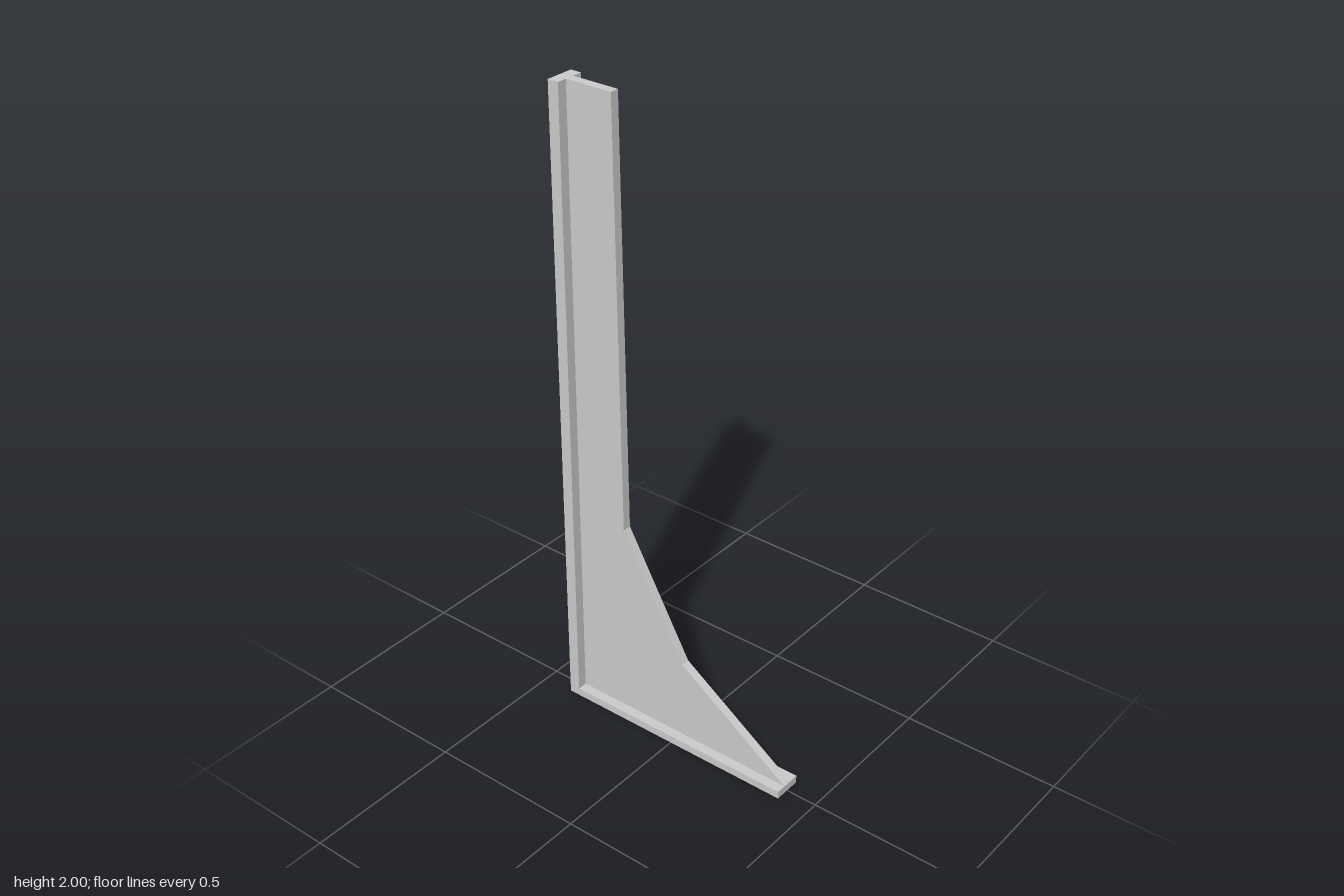
import * as THREE from 'three';

const material = new THREE.MeshStandardMaterial({ color: 0xcccccc, side: THREE.DoubleSide, flatShading: true });

// Profiles as [z, y]
const flangePath = [[0.4, 0], [0.4, 0.025], [-0.365, 0.025], [-0.365, 2], [-0.4, 2]];
const webPath = [[0.4, 0], [0.4, 0.025], [0.02, 0.285], [-0.197, 0.67], [-0.213, 2], [-0.4, 2]];
const lipOutline = [...flangePath, [-0.4, 0]];
const webOutline = [...webPath.slice(1, 5), [-0.365, 2], [-0.365, 0.025]];
const WEB = 0.014, FLANGE = 0.045; // half widths

function mesh(name, geometry) {
  const m = new THREE.Mesh(geometry, material);
  m.name = name;
  return m;
}

// Strip that follows a profile between two x positions
function ribbon(name, path, x0, x1) {
  const pos = [];
  for (let i = 0; i < path.length - 1; i++) {
    const [pz, py] = path[i], [qz, qy] = path[i + 1];
    pos.push(x0, py, pz, x1, py, pz, x1, qy, qz);
    pos.push(x0, py, pz, x1, qy, qz, x0, qy, qz);
  }
  const g = new THREE.BufferGeometry();
  g.setAttribute('position', new THREE.Float32BufferAttribute(pos, 3));
  g.computeVertexNormals();
  return mesh(name, g);
}

// Flat panel facing -x
function sidePanel(name, outline, x) {
  const shape = new THREE.Shape(outline.map(([z, y]) => new THREE.Vector2(z, y)));
  return mesh(name, new THREE.ShapeGeometry(shape).rotateY(-Math.PI / 2).translate(x, 0, 0));
}

export function createModel() {
  const model = new THREE.Group();
  model.name = 'bracket';

  // Hollow shell, open at the back and underneath: two mirrored halves
  for (const side of [1, -1]) {
    const half = new THREE.Group();
    half.name = side > 0 ? 'rightHalf' : 'leftHalf';
    half.add(
      sidePanel('flangeLip', lipOutline, -FLANGE),
      sidePanel('webSide', webOutline, -WEB),
      ribbon('flangePlate', flangePath, -FLANGE, -WEB)
    );
    half.scale.x = side;
    model.add(half);
  }

  // Sloping front edge of the web, with the top cap and toe end
  model.add(ribbon('webEdge', webPath, -WEB, WEB));
  return model;
}
